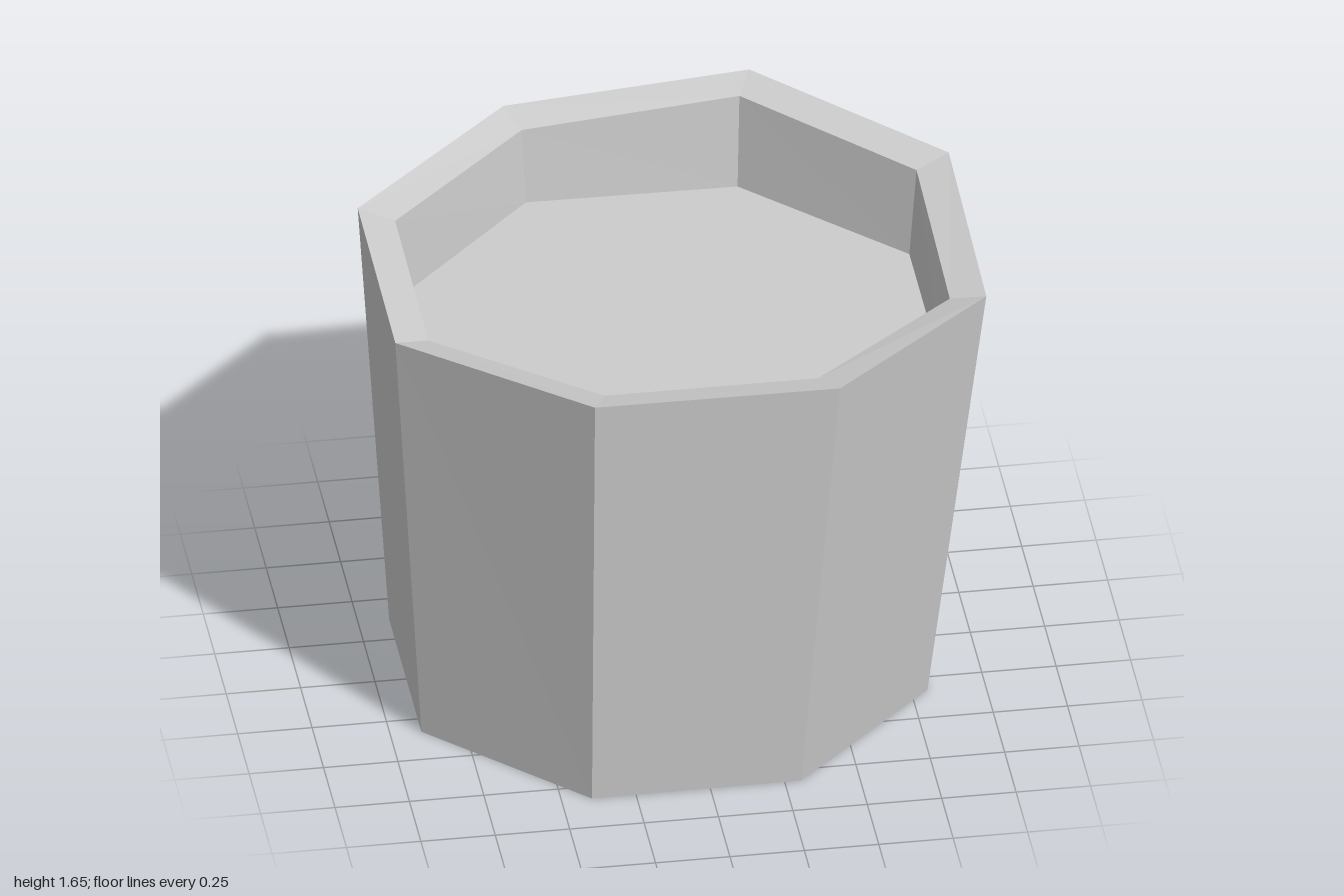
import * as THREE from 'three';

// Corner rings of [x, y, z], running counter-clockwise seen from above
const ring = (corners, y) => corners.map(([x, z]) => [x, y, z]);

const base = ring([
  [0.805, 0.33], [0.805, -0.375], [0.305, -0.88], [-0.398, -0.88],
  [-0.895, -0.375], [-0.895, 0.33], [-0.398, 0.825], [0.305, 0.82],
], 0);
const lip = [ // uneven upper edge
  [0.99, 1.585, 0.415], [0.99, 1.635, -0.405], [0.41, 1.65, -0.99], [-0.415, 1.58, -1],
  [-0.995, 1.605, -0.41], [-0.995, 1.59, 0.41], [-0.415, 1.65, 1], [0.41, 1.64, 0.99],
];
const inner = [ // follows the upper edge, slightly lower
  [0.875, 0.365], [0.875, -0.36], [0.36, -0.88], [-0.37, -0.89],
  [-0.877, -0.36], [-0.877, 0.365], [-0.365, 0.885], [0.355, 0.87],
].map(([x, z], i) => [x, lip[i][1] - 0.03, z]);
const bed = ring([
  [0.85, 0.36], [0.85, -0.355], [0.35, -0.855], [-0.36, -0.865],
  [-0.852, -0.36], [-0.852, 0.36], [-0.36, 0.86], [0.345, 0.845],
], 1.28);

function faces(points) {
  const geometry = new THREE.BufferGeometry();
  geometry.setAttribute('position', new THREE.Float32BufferAttribute(points.flat(), 3));
  geometry.computeVertexNormals(); // unshared corners give flat faces
  return geometry;
}

// Strip of quads from ring a to ring b
function band(a, b) {
  const points = [];
  a.forEach((p, i) => {
    const j = (i + 1) % a.length;
    points.push(p, a[j], b[i], a[j], b[j], b[i]);
  });
  return faces(points);
}

// Flat polygon filling a ring
function cap(r, faceDown) {
  const points = [];
  for (let i = 1; i < r.length - 1; i++) {
    points.push(r[0], ...(faceDown ? [r[i + 1], r[i]] : [r[i], r[i + 1]]));
  }
  return faces(points);
}

export function createModel() {
  const group = new THREE.Group();
  const stone = new THREE.MeshStandardMaterial({ color: 0xcccccc });
  stone.name = 'light grey';
  const add = (name, geometry) => {
    const mesh = new THREE.Mesh(geometry, stone);
    mesh.name = name;
    group.add(mesh);
  };

  add('underside', cap(base, true));
  add('outerWall', band(base, lip));
  add('rim', band(lip, inner));
  add('innerWall', band(inner, bed));
  add('innerFloor', cap(bed, false));
  return group;
}
